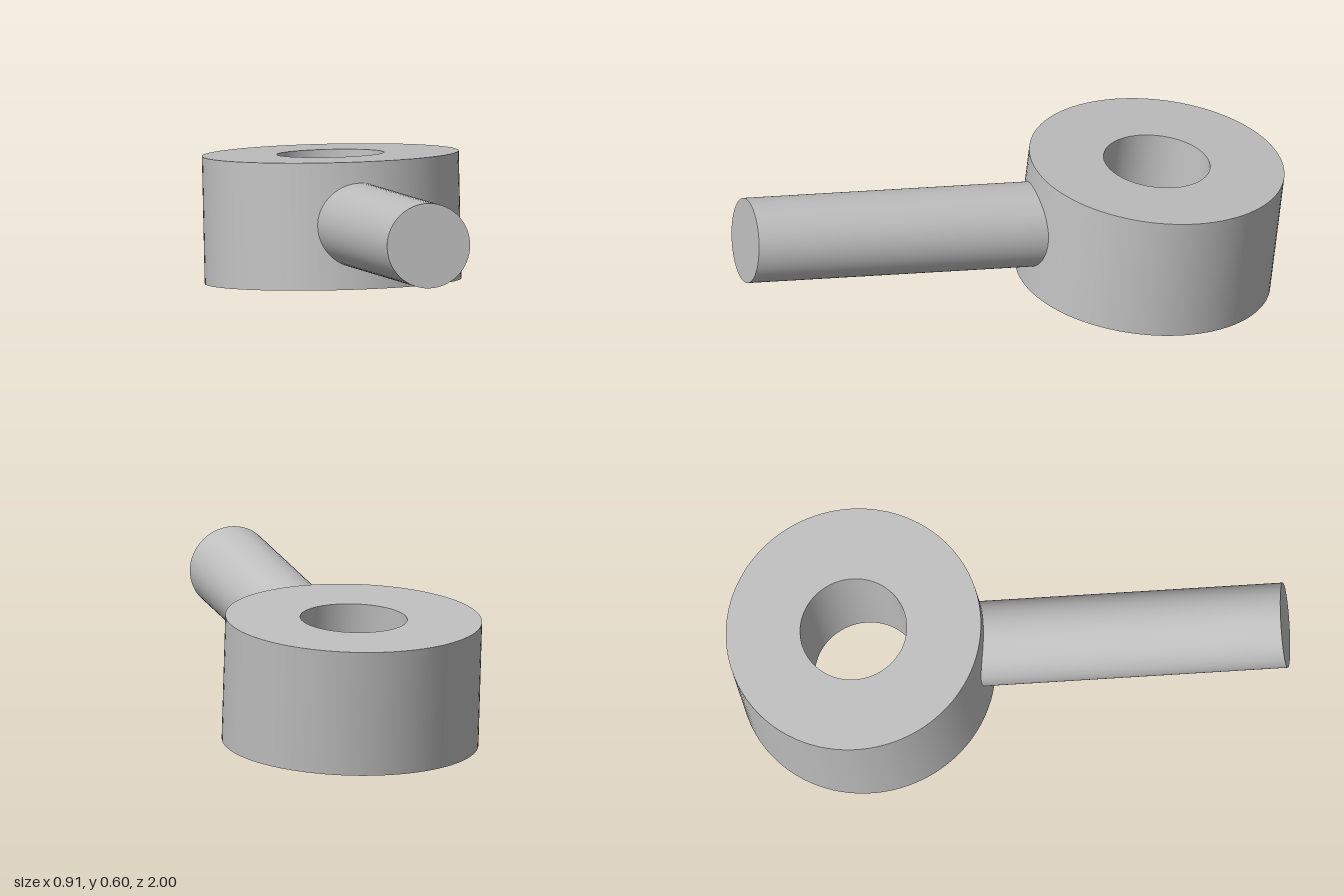
import * as THREE from 'three';
import { mergeGeometries } from 'three/addons/utils/BufferGeometryUtils.js';

const OUTER = 0.455, HOLE = 0.19, HEIGHT = 0.453;
const ROD_RADIUS = 0.151, ROD_START = 0.3, ROD_END = 1.514;
const TILT = 0.1155, YAW = 0.0366;

// Revolve each profile edge on its own so the rims stay sharp
function sharpLathe(profile, segments) {
  const edges = [];
  for (let i = 0; i + 1 < profile.length; i++) {
    const pair = [profile[i], profile[i + 1]].map(([r, y]) => new THREE.Vector2(r, y));
    edges.push(new THREE.LatheGeometry(pair, segments));
  }
  return mergeGeometries(edges);
}

export function createModel() {
  const model = new THREE.Group();
  model.name = 'rodEnd';
  const grey = new THREE.MeshStandardMaterial({ color: 0xbfbfbf });
  grey.name = 'plain grey';

  // Everything is tilted together about the ring centre
  const tilted = new THREE.Group();
  tilted.name = 'tiltedAssembly';
  tilted.position.set(0, 0.2825, -0.521);
  tilted.rotation.x = -TILT;
  model.add(tilted);

  // Thick ring with a through hole
  const h = HEIGHT / 2;
  const ring = new THREE.Mesh(
    sharpLathe([[OUTER, -h], [OUTER, h], [HOLE, h], [HOLE, -h], [OUTER, -h]], 96), grey);
  ring.name = 'ring';
  tilted.add(ring);

  // Round rod, starting inside the ring wall
  const rodGeometry = new THREE.CylinderGeometry(ROD_RADIUS, ROD_RADIUS, ROD_END - ROD_START, 72);
  rodGeometry.rotateX(Math.PI / 2).translate(0, 0, (ROD_START + ROD_END) / 2);
  const rod = new THREE.Mesh(rodGeometry, grey);
  rod.name = 'rod';
  rod.rotation.y = YAW;
  tilted.add(rod);

  return model;
}
